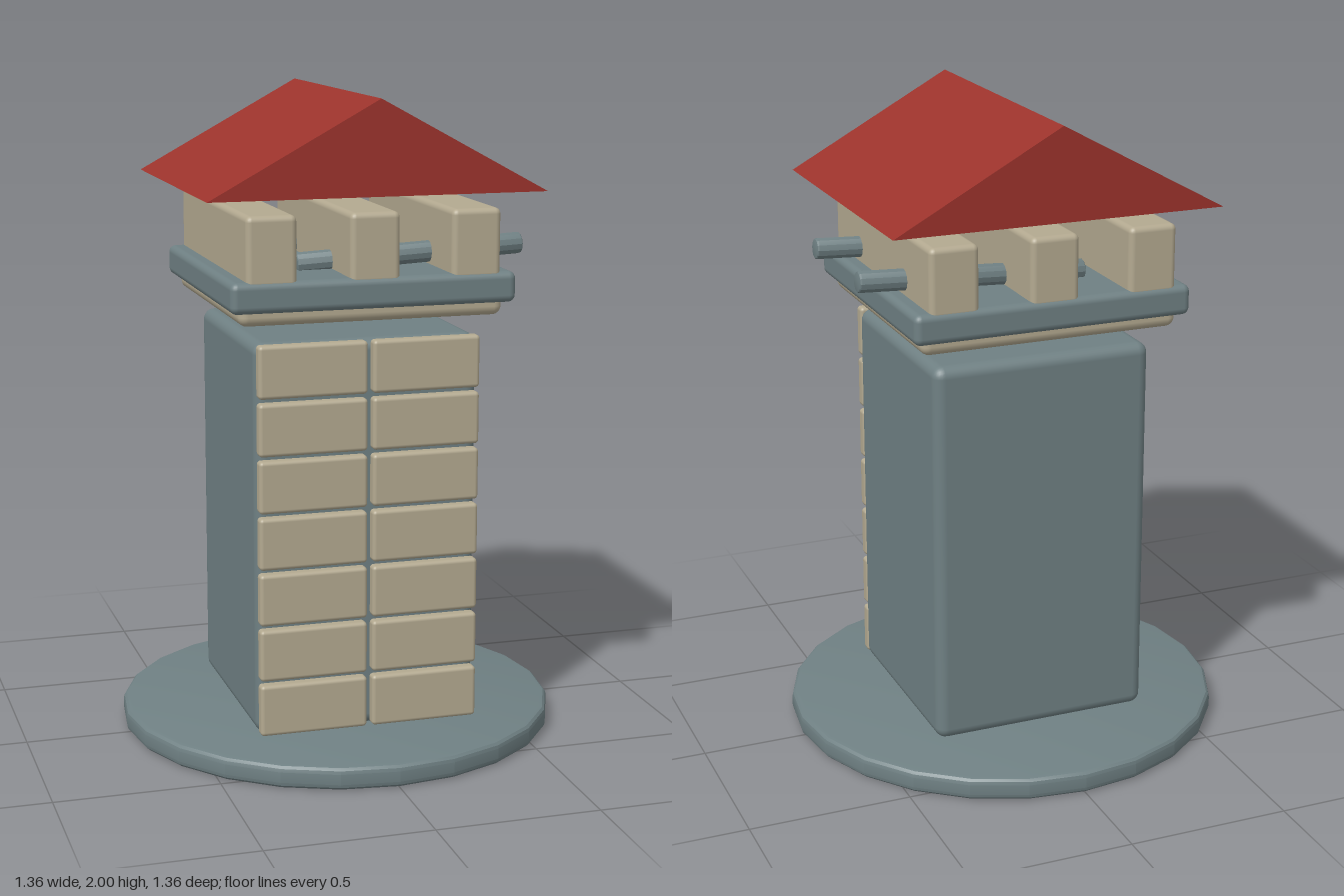
import * as THREE from 'three';
import { toCreasedNormals } from 'three/addons/utils/BufferGeometryUtils.js';
import { RoundedBoxGeometry } from 'three/addons/geometries/RoundedBoxGeometry.js';

const material = (name, color, side = THREE.FrontSide) =>
  Object.assign(new THREE.MeshStandardMaterial({ color, side }), { name });

export function createModel() {
  const slate = material('slate grey', 0x6f8083);
  const stone = material('sandstone', 0xb3a990);
  const red = material('roof red', 0x9c332c, THREE.DoubleSide);

  const model = new THREE.Group();
  model.name = 'tower';

  const add = (name, geometry, mat, parent = model) => {
    const mesh = new THREE.Mesh(geometry, mat);
    mesh.name = name;
    parent.add(mesh);
    return mesh;
  };

  // rounded block given by its lower and upper corner
  const block = (name, [x0, y0, z0], [x1, y1, z1], radius, mat, parent) => {
    const geometry = new RoundedBoxGeometry(x1 - x0, y1 - y0, z1 - z0, 3, radius);
    add(name, geometry, mat, parent).position.set((x0 + x1) / 2, (y0 + y1) / 2, (z0 + z1) / 2);
  };

  // upright disc or rod with rounded rims, standing on y = 0
  const roundedDisc = (radius, height, bevel, sides) => {
    const points = [new THREE.Vector2(0, 0)];
    for (const [cy, start] of [[bevel, -Math.PI / 2], [height - bevel, 0]]) {
      for (let i = 0; i <= 3; i++) {
        const a = start + (i / 3) * Math.PI / 2;
        points.push(new THREE.Vector2(radius - bevel + bevel * Math.cos(a), cy + bevel * Math.sin(a)));
      }
    }
    points.push(new THREE.Vector2(0, height));
    return toCreasedNormals(new THREE.LatheGeometry(points, sides), 0.3);
  };

  // round base and shaft
  add('base', roundedDisc(0.682, 0.072, 0.02, 24), slate);
  block('shaft', [-0.347, 0.077, -0.344], [0.347, 1.285, 0.344], 0.035, slate);

  // two columns of bricks on the front
  const bricks = new THREE.Group();
  bricks.name = 'bricks';
  model.add(bricks);
  for (let row = 0; row < 7; row++) {
    const y = 0.083 + row * 0.1735;
    for (const x of [-0.343, 0.008]) {
      block('brick', [x, y, 0.335], [x + 0.335, y + 0.16, 0.378], 0.012, stone, bricks);
    }
  }

  // platform
  block('corbel', [-0.405, 1.345, -0.4], [0.405, 1.42, 0.4], 0.028, stone);
  block('platform', [-0.436, 1.387, -0.43], [0.436, 1.48, 0.43], 0.022, slate);

  // three parapet walls running front to back
  for (const x of [-0.312, 0, 0.312]) {
    block('parapetWall', [x - 0.076, 1.46, -0.422], [x + 0.076, 1.67, 0.422], 0.018, stone);
  }

  // two slightly raised barrels pointing to the left side
  for (const z of [-0.2, 0.2]) {
    const barrel = add('barrel', roundedDisc(0.033, 0.715, 0.007, 12), slate);
    barrel.position.set(-0.183, 1.497, z);
    barrel.rotation.z = -Math.PI / 2 + 0.05;
  }

  // gabled roof shell, open underneath
  const w = 0.513, d = 0.468, eave = 1.72, ridge = 2;
  const corner = { // front and back: right eave, left eave, ridge
    a: [-w, eave, d], b: [w, eave, d], c: [0, ridge, d],
    e: [-w, eave, -d], f: [w, eave, -d], g: [0, ridge, -d],
  };
  const roof = new THREE.BufferGeometry();
  const faces = 'abc feg bfg bgc eac ecg'.replaceAll(' ', '');
  roof.setAttribute('position', new THREE.Float32BufferAttribute([...faces].flatMap((k) => corner[k]), 3));
  roof.computeVertexNormals();
  add('roof', roof, red);

  return model;
}
